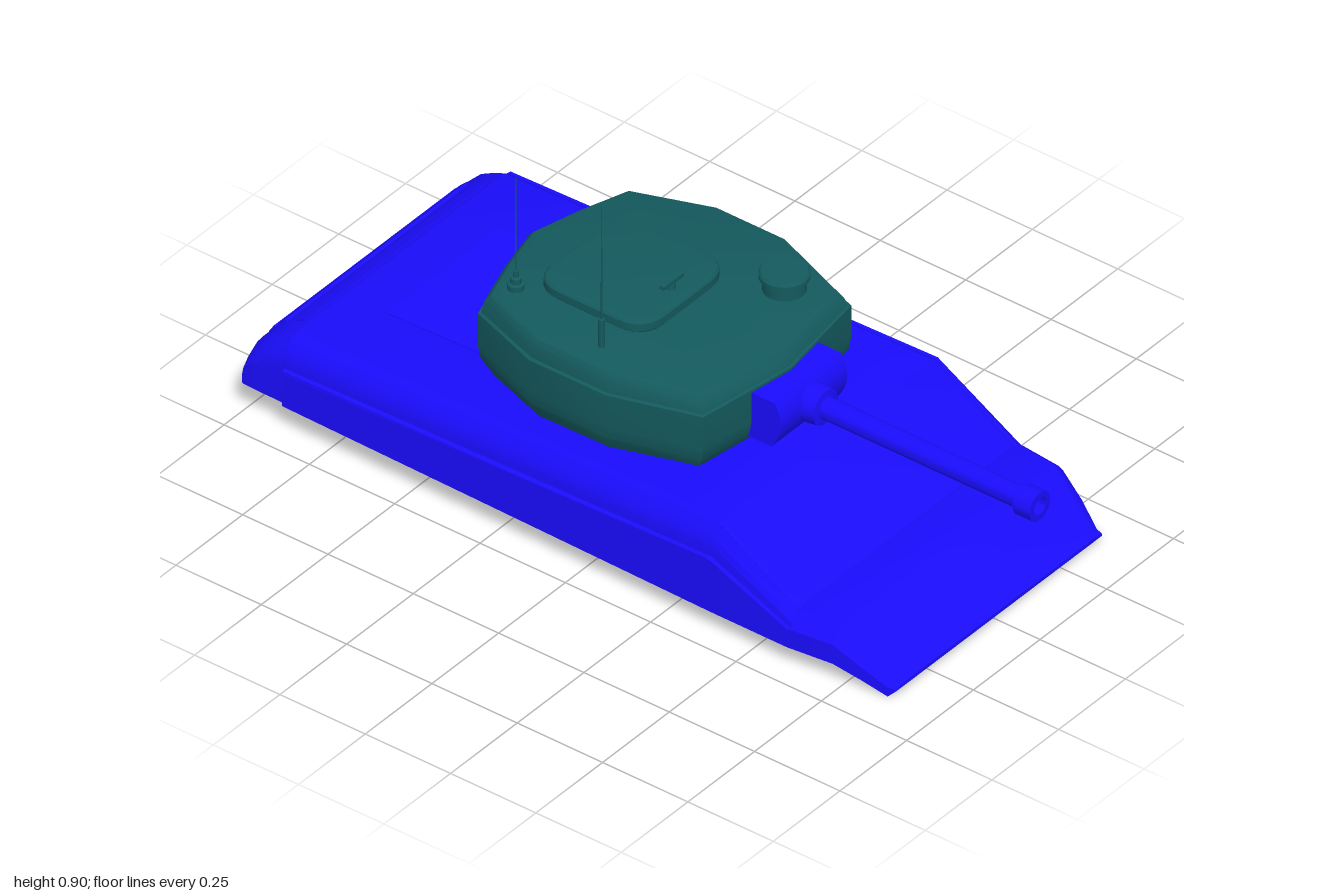
import * as THREE from 'three';
import { toCreasedNormals } from 'three/addons/utils/BufferGeometryUtils.js';

const blue = new THREE.MeshStandardMaterial({ color: 0x1a0dff });
const teal = new THREE.MeshStandardMaterial({ color: 0x145a5e });

function add(parent, name, geometry, material, x = 0, y = 0, z = 0) {
  const mesh = new THREE.Mesh(geometry, material);
  mesh.name = name;
  mesh.position.set(x, y, z);
  parent.add(mesh);
  return mesh;
}

// Skin closed rings of [x, y, z] points and cap both ends.
// Rings run clockwise when seen from the direction of travel.
function loft(rings, crease = 0.5) {
  const out = [];
  const n = rings[0].length;
  const centre = r => [0, 1, 2].map(k => r.reduce((s, p) => s + p[k], 0) / n);
  const first = rings[0], last = rings[rings.length - 1];
  const c0 = centre(first), c1 = centre(last);
  for (let j = 0; j < n; j++) {
    const k = (j + 1) % n;
    for (let i = 0; i < rings.length - 1; i++) {
      const a = rings[i][j], b = rings[i][k], c = rings[i + 1][k], d = rings[i + 1][j];
      out.push(a, c, b, a, d, c);
    }
    out.push(c0, first[j], first[k], c1, last[k], last[j]);
  }
  const g = new THREE.BufferGeometry();
  g.setAttribute('position', new THREE.Float32BufferAttribute(out.flat(), 3));
  return toCreasedNormals(g, crease);
}

// Revolved part from [radius, height] pairs
function turned(points, sides = 24) {
  return toCreasedNormals(new THREE.LatheGeometry(points.map(p => new THREE.Vector2(...p)), sides), 0.5);
}

// Half outline of the hull, mirrored; fender > 0 adds stepped track guards
function hullSection([x, bottom, top, w, fender]) {
  const f = Math.min(1, (top - bottom) / 0.2);
  const half = [
    [w, bottom], [w, top - 0.09 * f],
    [w - 0.009 * fender, top - 0.086 * f], [w - 0.011, top - 0.055 * f],
    [w - 0.018, top - 0.035 * f], [w - 0.036, top - 0.004 * f],
    [w - 0.04, top - 0.004 * f - 0.005 * fender], [w - 0.055, top],
  ];
  const mirrored = half.slice().reverse().map(([z, y]) => [-z, y]);
  return half.concat(mirrored).map(([z, y]) => [x, y, z]);
}

function buildHull() {
  const hull = new THREE.Group();
  hull.name = 'hull';
  // x, bottom, top, half width, fender step
  const stations = [
    [-1, 0.085, 0.125, 0.433, 0], [-0.995, 0.084, 0.165, 0.434, 0],
    [-0.98, 0.084, 0.195, 0.435, 0], [-0.95, 0.083, 0.226, 0.435, 0],
    [-0.91, 0.083, 0.248, 0.435, 0], [-0.875, 0.082, 0.262, 0.435, 0],
    [-0.872, 0.082, 0.263, 0.446, 1], [0.38, 0.06, 0.297, 0.446, 1],
    [0.61, 0.06, 0.151, 0.446, 1], [0.615, 0.06, 0.153, 0.445, 0],
    [0.73, 0.06, 0.155, 0.432, 0], [0.8, 0.034, 0.098, 0.414, 0],
    [0.86, 0.002, 0.048, 0.392, 0], [0.88, 0.022, 0.032, 0.386, 0],
  ];
  add(hull, 'hullBody', loft(stations.map(hullSection)), blue);

  // Rear cross ribs lying on the sloped tail
  for (const [x, y, angle] of [[-0.983, 0.19, 1.0], [-0.953, 0.224, 0.75], [-0.9, 0.252, 0.42]]) {
    add(hull, 'rearRib', new THREE.BoxGeometry(0.028, 0.008, 0.68), blue, x, y, 0).rotation.z = angle;
  }
  // Engine deck panel
  add(hull, 'engineDeck', new THREE.BoxGeometry(0.4, 0.008, 0.42), blue, -0.55, 0.27, 0).rotation.z = 0.028;
  // Side rails along both track guards
  for (const s of [1, -1]) {
    add(hull, 'sideRail', new THREE.BoxGeometry(1.24, 0.007, 0.012), blue, -0.25, 0.19, s * 0.442).rotation.z = 0.027;
  }
  return hull;
}

function buildTurret() {
  const turret = new THREE.Group();
  turret.name = 'turret';
  // Plan outline, from the front round by the left side
  const plan = [[0.27, 0], [0.25, 0.14], [0.23, 0.275], [0, 0.345], [-0.225, 0.345], [-0.43, 0.275],
    [-0.475, 0.14], [-0.51, 0], [-0.475, -0.14], [-0.43, -0.275], [-0.215, -0.352], [0, -0.352],
    [0.23, -0.275], [0.25, -0.14]];
  const cx = -0.12;
  // height, length scale, width scale
  const layers = [[0.265, 0.88, 0.92], [0.29, 0.93, 0.95], [0.325, 0.985, 1], [0.36, 1, 1.01],
    [0.45, 1, 1.01], [0.452, 0.985, 0.985], [0.485, 0.965, 0.97], [0.5, 0.93, 0.945], [0.506, 0.87, 0.89]];
  const rings = layers.map(([y, sx, sz]) => plan.map(([x, z]) => {
    // The roof falls away slightly toward the front
    const drop = y > 0.48 ? Math.max(0, x - 0.1) * 0.1 : 0;
    return [cx + (x - cx) * sx, y - drop, z * sz];
  }));
  add(turret, 'turretShell', loft(rings, 0.45), teal);

  // Large hatch plate with a rounded outline
  const h = 0.15, r = 0.065;
  const outline = new THREE.Shape();
  outline.moveTo(-h + r, -h);
  outline.lineTo(h - r, -h).quadraticCurveTo(h, -h, h, -h + r);
  outline.lineTo(h, h - r).quadraticCurveTo(h, h, h - r, h);
  outline.lineTo(-h + r, h).quadraticCurveTo(-h, h, -h, h - r);
  outline.lineTo(-h, -h + r).quadraticCurveTo(-h, -h, -h + r, -h);
  const plate = new THREE.ExtrudeGeometry(outline, {
    depth: 0.02, bevelEnabled: true, bevelSize: 0.015, bevelThickness: 0.008, bevelSegments: 2, curveSegments: 6,
  });
  plate.rotateX(-Math.PI / 2);
  add(turret, 'hatchPlate', toCreasedNormals(plate, 0.5), teal, -0.185, 0.506, 0.015);
  add(turret, 'hatchHandle', new THREE.BoxGeometry(0.014, 0.01, 0.074), teal, -0.068, 0.555, 0.015);
  add(turret, 'handleStem', new THREE.CylinderGeometry(0.008, 0.012, 0.03, 10), teal, -0.068, 0.54, 0.015);

  // Round periscope cover
  add(turret, 'cupola', turned([[0, 0], [0.052, 0], [0.052, 0.034], [0.061, 0.036], [0.061, 0.046],
    [0.056, 0.053], [0, 0.053]]), teal, 0.105, 0.495, -0.187);

  // Radio aerials: stepped base and thin rod
  add(turret, 'rearAerialBase', turned([[0, 0], [0.02, 0], [0.02, 0.02], [0.013, 0.022], [0.013, 0.037],
    [0.007, 0.04], [0.007, 0.057], [0, 0.057]], 12), teal, -0.375, 0.5, 0.206);
  add(turret, 'rearAerial', new THREE.CylinderGeometry(0.0015, 0.002, 0.27, 6), teal, -0.375, 0.687, 0.206);
  add(turret, 'sideAerialBase', new THREE.CylinderGeometry(0.008, 0.008, 0.085, 12), teal, -0.08, 0.54, 0.262);
  add(turret, 'sideAerial', new THREE.CylinderGeometry(0.0015, 0.002, 0.335, 6), teal, -0.08, 0.738, 0.262);
  return turret;
}

function buildGun() {
  const gun = new THREE.Group();
  gun.name = 'gun';
  // Shield with a gently rounded front, extruded across the turret
  const side = new THREE.Shape();
  side.moveTo(0.2, -0.068);
  side.lineTo(0.31, -0.068);
  side.quadraticCurveTo(0.36, 0, 0.32, 0.06);
  side.lineTo(0.2, 0.06);
  side.closePath();
  const shield = new THREE.ExtrudeGeometry(side, { depth: 0.25, bevelEnabled: false, curveSegments: 8 });
  add(gun, 'gunShield', toCreasedNormals(shield, 0.5), blue, 0, 0.383, -0.125);
  // Collar, barrel and hollow muzzle in one turned profile along +x
  const barrel = turned([[0, 0.31], [0.05, 0.31], [0.05, 0.345], [0.046, 0.372], [0.028, 0.374],
    [0.027, 0.948], [0.039, 0.95], [0.039, 1], [0.022, 1], [0.022, 0.96], [0, 0.96]]);
  barrel.rotateZ(-Math.PI / 2);
  add(gun, 'barrel', barrel, blue, 0, 0.383, 0);
  return gun;
}

export function createModel() {
  const model = new THREE.Group();
  model.name = 'tank';
  model.add(buildHull(), buildTurret(), buildGun());
  return model;
}
